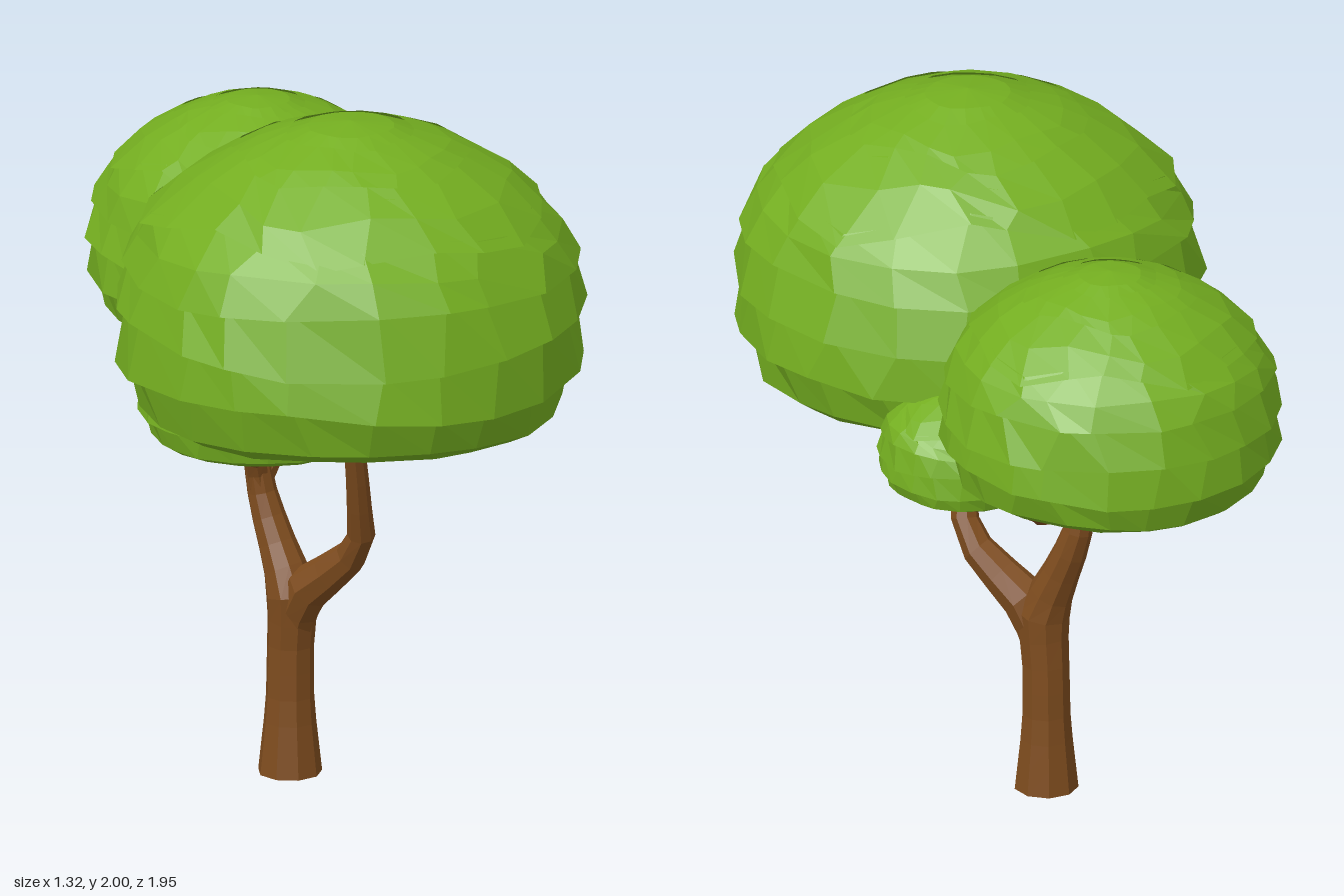
import * as THREE from 'three';

const bark = new THREE.MeshStandardMaterial({ color: 0x7e4c1e, flatShading: true });
bark.name = 'bark brown';
const leaf = new THREE.MeshStandardMaterial({ color: 0x74ae20, flatShading: true });
leaf.name = 'leaf green';

// Half profile of a canopy of radius 1: [radius, height, leaf layer]; hollow underside first, crown last
const PROFILE = [
  [0, 0.33, 0], [0.32, 0.3, 0], [0.62, 0.17, 0], [0.8, 0.015, 0.5],
  [0.88, 0.06, 0.6], [0.93, 0.26, 1],
  [0.985, 0.25, 1], [0.95, 0.485, 2],
  [1.0, 0.47, 2], [0.92, 0.725, 3],
  [0.96, 0.695, 3], [0.89, 0.83, 3.5], [0.78, 0.955, 4],
  [0.825, 0.915, 4], [0.68, 1.05, 4.5], [0.51, 1.155, 5],
  [0.56, 1.12, 5], [0.42, 1.195, 5.5], [0.27, 1.25, 6],
  [0.32, 1.22, 6], [0.18, 1.275, 6.5], [0, 1.295, 7],
];

// Repeatable noise between -1 and 1
function noise(a, b, c) {
  const s = Math.sin(a * 127.1 + b * 311.7 + c * 74.7) * 43758.5453;
  return (s - Math.floor(s)) * 2 - 1;
}

// Layered dome with wavy, irregular shingle edges
function canopy(name, [x, y, z], [sx, sy, sz], seed) {
  const sides = 20;
  const geo = new THREE.LatheGeometry(PROFILE.map(([r, h]) => new THREE.Vector2(r, h)), sides);
  const pos = geo.attributes.position;
  const rows = PROFILE.length;
  for (let i = 0; i < pos.count; i++) {
    const [r, h, layer] = PROFILE[i % rows];
    const k = Math.floor(i / rows) % sides;
    const edge = Math.min(layer, 7 - layer, 1);
    const angle = ((k + 0.25 * noise(k, layer, seed)) / sides) * Math.PI * 2;
    const wave = edge * (0.02 * Math.sin(angle * 2 + layer * 1.9 + seed)
      + 0.017 * Math.sin(angle * 3 + layer * 2.7) + 0.008 * noise(k, layer, seed + 5));
    // Upper shingles slide along the dome and become roughly pentagonal
    const slide = layer >= 4 ? 1 - wave * 1.5 + 0.05 * edge * Math.cos(angle * 5 + layer * 2) : 1;
    const lift = layer >= 4 ? (1 - slide) * r * r * 1.1 : wave;
    const rr = r * slide * (1 + 0.012 * noise(k, layer, seed + 9));
    pos.setXYZ(i, rr * Math.sin(angle), h + lift, rr * Math.cos(angle));
  }
  const mesh = new THREE.Mesh(geo, leaf);
  mesh.name = name;
  mesh.position.set(x, y, z);
  mesh.scale.set(sx, sy, sz);
  return mesh;
}

// Tapered limb through points given as [x, y, z, radius]
function limb(name, pts, sides) {
  const curve = new THREE.CatmullRomCurve3(pts.map(([x, y, z]) => new THREE.Vector3(x, y, z)), false, 'centripetal');
  const rings = (pts.length - 1) * 2;
  const geo = new THREE.TubeGeometry(curve, rings, 1, sides);
  const pos = geo.attributes.position;
  const v = new THREE.Vector3();
  for (let i = 0; i < pos.count; i++) {
    const u = Math.floor(i / (sides + 1)) / rings;
    const t = curve.getUtoTmapping(u) * (pts.length - 1);
    const a = Math.min(Math.floor(t), pts.length - 2);
    const r = THREE.MathUtils.lerp(pts[a][3], pts[a + 1][3], t - a);
    const c = curve.getPointAt(u);
    v.fromBufferAttribute(pos, i).sub(c).multiplyScalar(r).add(c);
    pos.setXYZ(i, v.x, Math.max(v.y, 0), v.z);
  }
  const mesh = new THREE.Mesh(geo, bark);
  mesh.name = name;
  return mesh;
}

export function createModel() {
  const tree = new THREE.Group();
  tree.name = 'tree';

  // Trunk continuing into the rear limb
  tree.add(limb('trunk', [
    [-0.14, 0, 0.04, 0.09], [-0.14, 0.2, 0.04, 0.068], [-0.138, 0.4, 0.042, 0.066],
    [-0.135, 0.52, 0.05, 0.074], [-0.165, 0.63, 0.015, 0.056],
    [-0.207, 0.78, -0.03, 0.043], [-0.222, 0.87, -0.035, 0.038],
  ], 9));
  const base = new THREE.Mesh(new THREE.CircleGeometry(0.088, 9), bark);
  base.name = 'trunkBase';
  base.rotation.x = Math.PI / 2;
  base.position.set(-0.14, 0.001, 0.04);
  tree.add(base);

  // Branches, each ending inside its canopy
  tree.add(limb('frontBranch', [
    [-0.138, 0.38, 0.042, 0.05], [-0.105, 0.53, 0.08, 0.068], [-0.03, 0.62, 0.15, 0.054],
    [0.035, 0.71, 0.215, 0.042], [0.032, 0.83, 0.262, 0.035], [0.002, 1.15, 0.355, 0.026], [-0.01, 1.38, 0.41, 0.018],
  ], 8));
  tree.add(limb('lowBranch', [
    [-0.215, 0.8, -0.032, 0.036], [-0.228, 0.88, -0.02, 0.034],
    [-0.24, 0.95, 0.04, 0.025], [-0.25, 1.08, 0.1, 0.018],
  ], 7));
  tree.add(limb('rearBranch', [
    [-0.215, 0.83, -0.03, 0.035], [-0.18, 0.87, -0.08, 0.03], [-0.06, 0.92, -0.18, 0.025],
    [-0.035, 0.96, -0.24, 0.022], [-0.06, 1.1, -0.36, 0.019], [-0.1, 1.32, -0.49, 0.014],
  ], 7));
  tree.add(limb('smallBranch', [
    [-0.07, 0.915, -0.17, 0.022], [-0.02, 0.94, -0.17, 0.02],
    [0.04, 1.02, -0.15, 0.017], [0.09, 1.14, -0.15, 0.013],
  ], 7));

  // Leaf canopies
  tree.add(canopy('largeCanopy', [0, 1.15, 0.345], [0.66, 0.656, 0.63], 1));
  tree.add(canopy('rearCanopy', [-0.175, 1.16, -0.5], [0.48, 0.488, 0.475], 2));
  tree.add(canopy('lowCanopy', [-0.22, 0.955, -0.03], [0.34, 0.345, 0.34], 3));
  tree.add(canopy('smallCanopy', [0.16, 1.05, -0.19], [0.24, 0.24, 0.24], 4));
  return tree;
}
